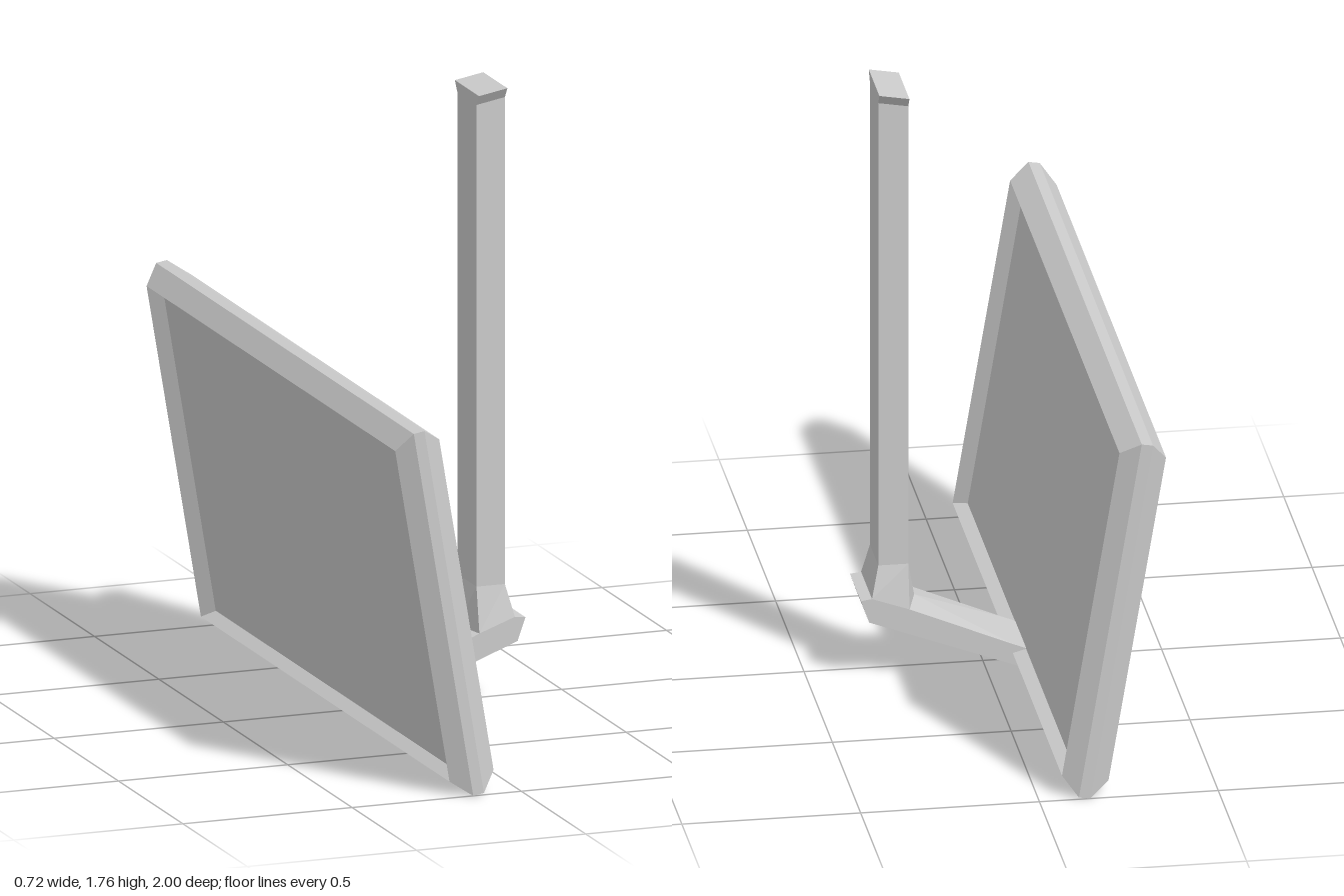
import * as THREE from 'three';

const material = new THREE.MeshStandardMaterial({ color: 0xcccccc, flatShading: true });

// Joins four-cornered rings (counter-clockwise seen along the sweep) and caps both ends
function loft(rings) {
  const index = [];
  const last = (rings.length - 1) * 4;
  for (let r = 0; r < last; r += 4) {
    for (let i = 0; i < 4; i++) {
      const j = (i + 1) % 4;
      index.push(r + i, r + j, r + 4 + j, r + i, r + 4 + j, r + 4 + i);
    }
  }
  index.push(0, 2, 1, 0, 3, 2, last, last + 1, last + 2, last, last + 2, last + 3);
  return facets(rings.flat(), index);
}

function facets(points, index) {
  const indexed = new THREE.BufferGeometry();
  indexed.setAttribute('position', new THREE.Float32BufferAttribute(points.flat(), 3));
  indexed.setIndex(index);
  const geometry = indexed.toNonIndexed();
  geometry.computeVertexNormals();
  return geometry;
}

function part(name, geometry) {
  const mesh = new THREE.Mesh(geometry, material);
  mesh.name = name;
  return mesh;
}

export function createModel() {
  const model = new THREE.Group();
  model.name = 'panelOnPole';

  // Tilted panel: bevelled rim with a shallow recess on both faces
  const panelRings = [
    [-0.031, 0.470, 0.933],
    [-0.066, 0.486, 0.965],
    [-0.016, 0.532, 1],
    [0.016, 0.532, 1],
    [0.066, 0.486, 0.965],
    [0.031, 0.470, 0.933],
  ].map(([x, h, w]) => [[x, -h, -w], [x, h, -w], [x, h, w], [x, -h, w]]);
  const panel = part('panel', loft(panelRings));
  panel.position.set(-0.214, 0.53, 0);
  panel.rotation.z = 0.166;
  model.add(panel);

  // Pole: wide neck at the foot, straight shaft, flared slanted top
  const poleRings = [
    [0.22, 0.212, 0.325, 0.25, 0.097],
    [0.22, 0.34, 0.304, 0.34, 0.074],
    [0.22, 1.715, 0.304, 1.73, 0.074],
    [0.22, 1.745, 0.304, 1.76, 0.094],
  ].map(([x0, y0, x1, y1, w]) => [[x0, y0, -w], [x0, y0, w], [x1, y1, w], [x1, y1, -w]]);
  model.add(part('pole', loft(poleRings)));

  // Sloping arm from the panel's lower rim to the pole, with a small heel
  const w = 0.097;
  const armShape = new THREE.Shape([
    [-0.115, 0.01], [0.333, 0.18], [0.356, 0.246], [0.325, 0.25],
    [0.22, 0.212], [-0.07, 0.088], [-0.115, 0.07],
  ].map(([x, y]) => new THREE.Vector2(x, y)));
  const armGeometry = new THREE.ExtrudeGeometry(armShape, { depth: 2 * w, bevelEnabled: false });
  armGeometry.translate(0, 0, -w);
  model.add(part('arm', armGeometry));

  // Ridged gusset in the corner between arm and pole
  const gussetPoints = [
    [0.192, 0.215, 0],
    [0.22, 0.34, 0.074], [0.22, 0.34, -0.074],
    [0.22, 0.212, -w], [-0.07, 0.088, -w],
    [-0.07, 0.088, w], [0.22, 0.212, w],
  ];
  const gussetIndex = [];
  for (let i = 1; i <= 6; i++) gussetIndex.push(0, i, (i % 6) + 1);
  model.add(part('gusset', facets(gussetPoints, gussetIndex)));

  return model;
}
